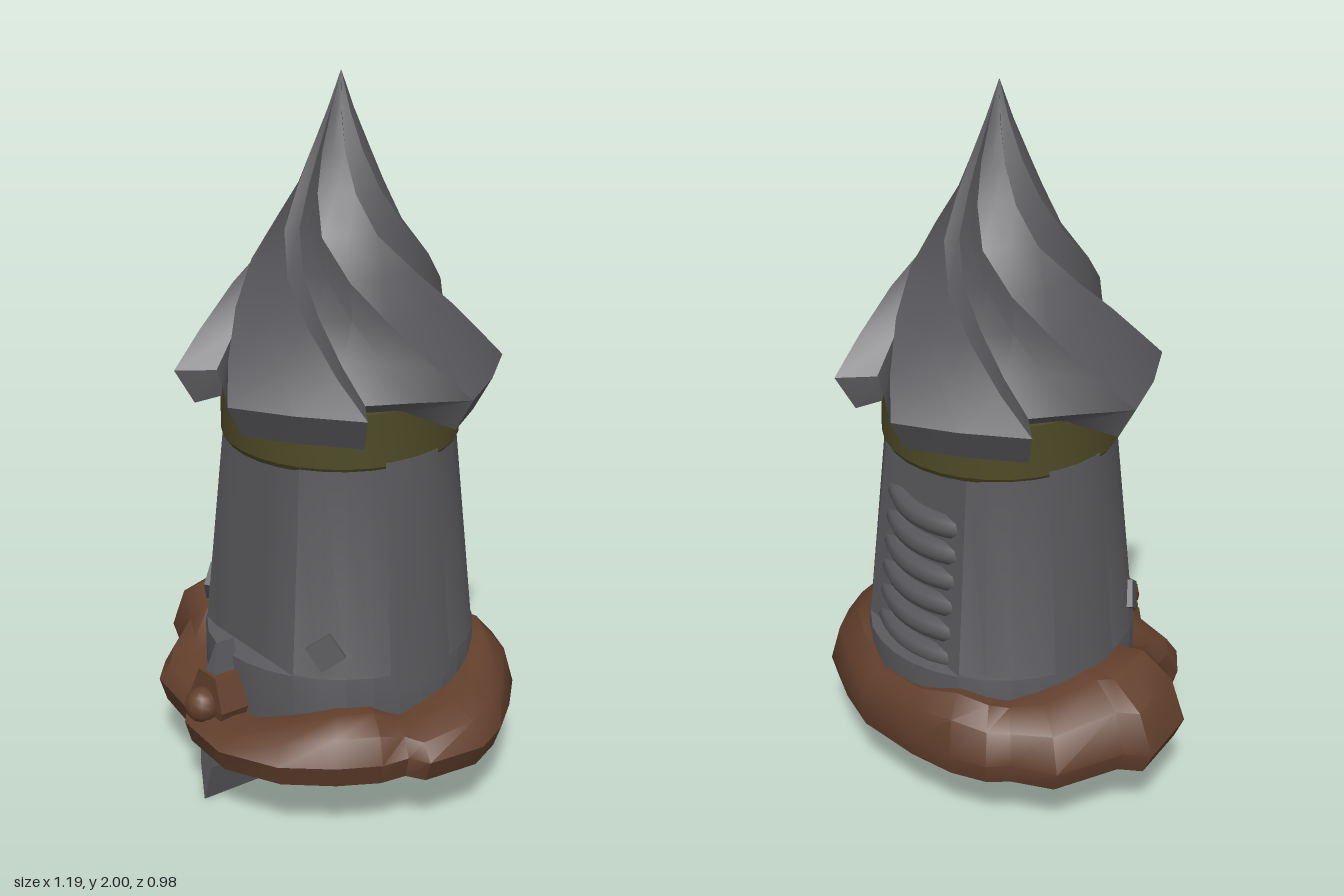
import * as THREE from 'three';
import { toCreasedNormals } from 'three/addons/utils/BufferGeometryUtils.js';

const CX = 0.03, CZ = -0.035; // axis of the tower
const mat = (name, color) => Object.assign(new THREE.MeshStandardMaterial({ color }), { name });

export function createModel() {
  const steel = mat('dark steel', 0x59595d);
  const fur = mat('brown fur', 0x623f2c);
  const brass = mat('old brass', 0x4e4926);
  const model = new THREE.Group();
  const tower = new THREE.Group();
  tower.name = 'tower';
  tower.position.set(CX, 0, CZ);
  model.add(tower);

  const add = (parent, name, geo, material, x = 0, y = 0, z = 0) => {
    const m = new THREE.Mesh(geo, material);
    m.name = name;
    m.position.set(x, y, z);
    parent.add(m);
    return m;
  };

  // skin closed rings of points, ordered clockwise from above, lowest ring first
  const loft = (rows, crease) => {
    const n = rows[0].length, idx = [];
    for (let i = 0; i < rows.length - 1; i++) for (let j = 0; j < n; j++) {
      const a = i * n + j, b = i * n + (j + 1) % n;
      idx.push(a, a + n, b, a + n, b + n, b);
    }
    const g = new THREE.BufferGeometry();
    g.setAttribute('position', new THREE.Float32BufferAttribute(rows.flat(2), 3));
    g.setIndex(idx);
    return toCreasedNormals(g, crease);
  };

  // six-sided block between a lower and an upper rectangle [half width, z0, z1, y]
  const block = (lo, hi) => {
    const g = new THREE.BoxGeometry(2, 1, 1), p = g.attributes.position;
    for (let i = 0; i < p.count; i++) {
      const r = p.getY(i) > 0 ? hi : lo;
      p.setXYZ(i, p.getX(i) * r[0], r[3], r[p.getZ(i) > 0 ? 2 : 1]);
    }
    const flat = g.toNonIndexed();
    flat.computeVertexNormals();
    return flat;
  };

  // tapered body with flat front and back faces above the base
  const profile = [[0, 0.05], [0.185, 0.05], [0.2, 0.036], [0.222, 0.036], [0.24, 0.07], [0.31, 0.08],
    [0.345, 0.11], [0.38, 0.19], [0.38, 0.43], [0.376, 0.44], [0.321, 1.02], [0, 1.02]];
  const body = new THREE.LatheGeometry(profile.map(p => new THREE.Vector2(...p)), 32);
  const bp = body.attributes.position;
  for (let i = 0; i < bp.count; i++) {
    if (i % profile.length < 9) continue;
    const t = (bp.getY(i) - 0.44) / 0.58;
    bp.setZ(i, THREE.MathUtils.clamp(bp.getZ(i), -0.315 + 0.06 * t, 0.325 - 0.045 * t));
  }
  add(tower, 'body', toCreasedNormals(body, 0.42), steel);

  // thin side straps and diamond studs, mirrored
  for (const s of [-1, 1]) {
    add(tower, 'sideStrap', new THREE.CylinderGeometry(0.328, 0.386, 0.65, 6, 1, false, s * Math.PI / 2 - 0.27, 0.54),
      steel, 0, 0.705, 0);
    const stud = add(tower, 'stud', new THREE.BoxGeometry(0.078, 0.078, 0.04), steel, s * 0.267, 0.508, 0.245);
    stud.rotation.set(-0.1, s * 0.84, s * 0.6, 'YXZ');
  }

  // rounded louvres on the back
  for (let i = 0; i < 6; i++) {
    const y = 0.48 + i * 0.077, r = 0.33 - (y - 0.44) * 0.1;
    const geo = new THREE.TorusGeometry(r, 0.03, 8, 12, 1.2);
    geo.rotateZ(-Math.PI / 2 - 0.6);
    geo.rotateX(Math.PI / 2 - 0.08);
    add(tower, 'louvre', geo, steel, 0, y, 0).scale.y = 1.15;
  }

  // collar under the roof
  const collar = [[0.28, 1.005], [0.318, 1.005], [0.327, 1.02], [0.325, 1.17], [0.28, 1.17]];
  add(tower, 'collar', toCreasedNormals(
    new THREE.LatheGeometry(collar.map(p => new THREE.Vector2(...p)), 32), 0.5), brass);

  // twisted roof: four swept blades, each a [angle, radius factor] section with a valley behind it
  const section = [[0, 1.015], [25, 0.95], [49, 1.01], [67, 0.82], [88, 0.76]];
  const levels = [ // [y, radius, twist in degrees]
    [1.16, 0.15, 0], [1.105, 0.392, 0], [1.2, 0.445, 0], [1.29, 0.375, 10], [1.4, 0.3, 25], [1.5, 0.235, 44],
    [1.6, 0.172, 66], [1.7, 0.118, 80], [1.8, 0.074, 90], [1.9, 0.034, 97], [2, 0.0005, 100]];
  const roofRows = levels.map(([y, radius, twist], k) => {
    const row = [];
    for (let blade = 0; blade < 4; blade++) for (const [phi, f] of section) {
      const a = THREE.MathUtils.degToRad(152 - 90 * blade - phi - twist);
      const lift = k === 1 && phi > 60 ? 0.055 : 0; // rim stops at the valley
      row.push([radius * f * Math.cos(a), y + lift, -radius * f * Math.sin(a)]);
    }
    return row;
  });
  add(tower, 'roof', loft(roofRows, 0.6), steel);

  // fur ring: outline points [x, z, top height]
  const outline = [[0.593, -0.1, 0.34], [0.575, 0.07, 0.31], [0.52, 0.1, 0.32], [0.51, 0.18, 0.35],
    [0.45, 0.29, 0.35], [0.35, 0.41, 0.32], [0.19, 0.49, 0.28], [0, 0.475, 0.28], [-0.06, 0.43, 0.29],
    [-0.25, 0.4, 0.31], [-0.33, 0.33, 0.33], [-0.39, 0.23, 0.38], [-0.52, 0.18, 0.43], [-0.597, -0.01, 0.42],
    [-0.54, -0.06, 0.42], [-0.5, -0.265, 0.39], [-0.39, -0.335, 0.37], [-0.35, -0.39, 0.38],
    [-0.25, -0.44, 0.4], [-0.11, -0.47, 0.37], [0.1, -0.487, 0.36], [0.25, -0.45, 0.4],
    [0.36, -0.41, 0.4], [0.46, -0.31, 0.37], [0.54, -0.21, 0.35]];
  // k blends from the tower wall (0) to the outline (1)
  const furRow = (k, height) => outline.map(([x, z, h]) => {
    const dx = x - CX, dz = z - CZ, d = Math.hypot(dx, dz), r = 0.345 + (d - 0.345) * k;
    return [CX + dx / d * r, height(h), CZ + dz / d * r];
  });
  add(model, 'furRing', loft([
    furRow(0, () => 0.2), furRow(0.12, () => 0.18), furRow(0.88, () => 0.18), furRow(1, () => 0.245),
    furRow(0.82, h => 0.25 + (h - 0.25) * 0.65), furRow(0.45, h => h), furRow(0, h => h - 0.01)], 0.75), fur);

  // blade hanging on the front, with its wrapped holder
  const charm = new THREE.Group();
  charm.name = 'frontCharm';
  charm.position.x = CX;
  model.add(charm);
  const bladeMid = [0.028, 0.283, 0.428, 0.11];
  add(charm, 'bladeEdge', block([0.002, 0.22, 0.435, 0], bladeMid), steel);
  add(charm, 'bladeRoot', block(bladeMid, [0.032, 0.33, 0.42, 0.22]), steel);
  add(charm, 'bladeTip', block([0.028, 0.33, 0.415, 0.36], [0.003, 0.33, 0.385, 0.475]), steel);
  add(charm, 'holderBase', block([0.06, 0.31, 0.42, 0.25], [0.08, 0.31, 0.425, 0.3]), fur);
  add(charm, 'holder', block([0.08, 0.31, 0.425, 0.3], [0.04, 0.33, 0.418, 0.39]), fur);
  add(charm, 'knob', new THREE.SphereGeometry(0.05, 10, 8), fur, 0, 0.3, 0.435);
  return model;
}
